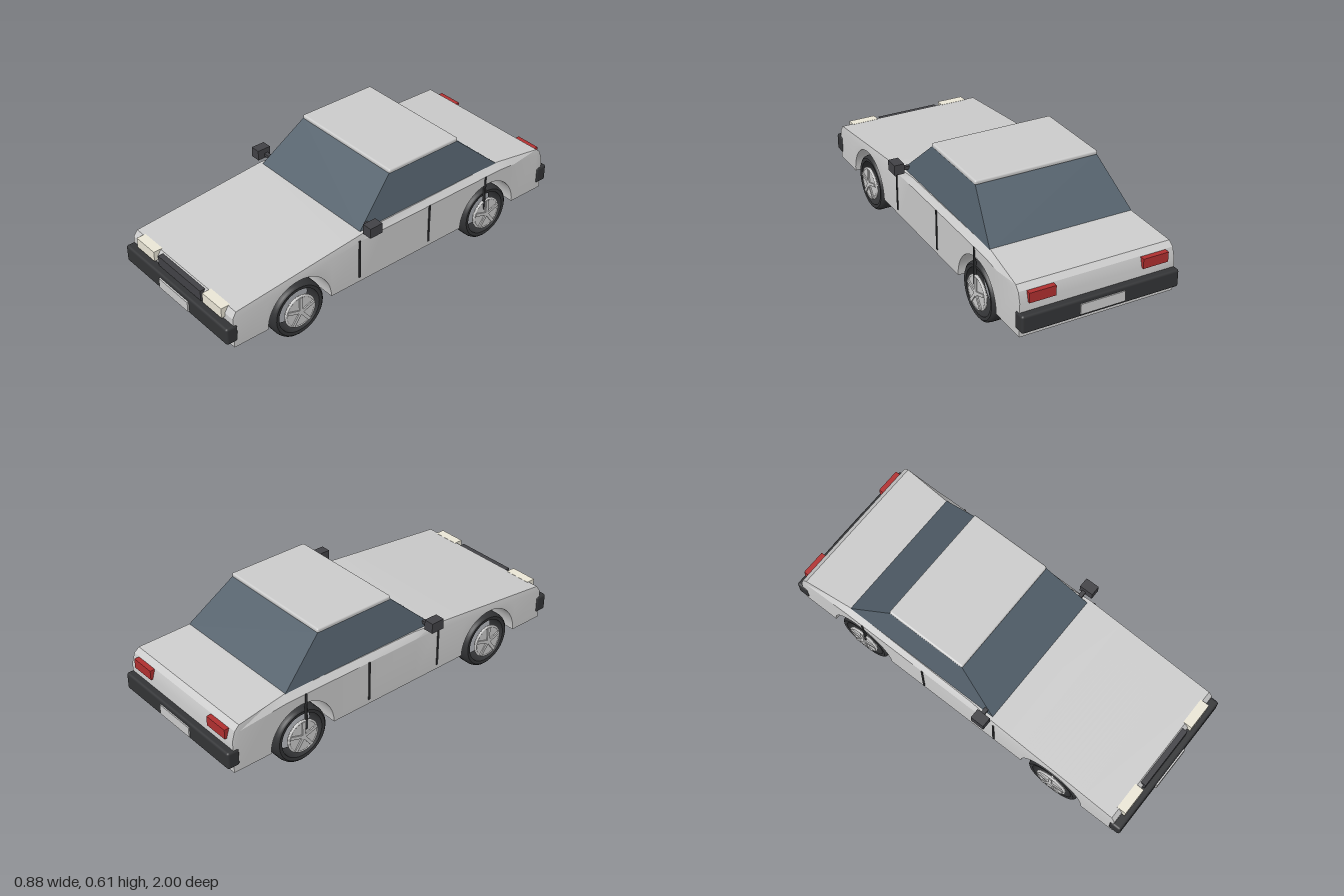
import * as THREE from 'three';
import { toCreasedNormals } from 'three/addons/utils/BufferGeometryUtils.js';
import { RoundedBoxGeometry } from 'three/addons/geometries/RoundedBoxGeometry.js';

const paint = (color) => new THREE.MeshStandardMaterial({ color });
const grey = paint(0xcccccc), dark = paint(0x424246), black = paint(0x333436);
const glass = paint(0x53606b), cream = paint(0xeae6d6), red = paint(0xb03030);

function mesh(name, geometry, material, x = 0, y = 0, z = 0) {
  const m = new THREE.Mesh(geometry, material);
  m.name = name;
  m.position.set(x, y, z);
  return m;
}

// Box given by its minimum and maximum along each axis
function box(name, material, [x0, x1], [y0, y1], [z0, z1], radius = 0) {
  const s = [x1 - x0, y1 - y0, z1 - z0];
  const g = radius ? new RoundedBoxGeometry(...s, 3, radius) : new THREE.BoxGeometry(...s);
  return mesh(name, g, material, (x0 + x1) / 2, (y0 + y1) / 2, (z0 + z1) / 2);
}

// Skin over equal-length rings, ordered front to back, counter-clockwise from the front
function loft(rings) {
  const n = rings[0].length, index = [];
  for (let i = 0; i < rings.length - 1; i++) {
    for (let j = 0; j < n; j++) {
      const a = i * n + j, b = i * n + (j + 1) % n, c = b + n, d = a + n;
      index.push(a, d, c, a, c, b);
    }
  }
  const last = (rings.length - 1) * n;
  for (let j = 1; j < n - 1; j++) {
    index.push(0, j, j + 1, last, last + j + 1, last + j);
  }
  const g = new THREE.BufferGeometry();
  g.setAttribute('position', new THREE.Float32BufferAttribute(rings.flat(2), 3));
  g.setIndex(index);
  return toCreasedNormals(g, 0.4);
}

const WHEEL_Z = [0.587, -0.58], ARCH_R = 0.18, SILL = 0.135;

// Upper edge of the body: z, height, half width
const shoulder = [
  [0.95, 0.29, 0.388], [0.93, 0.32, 0.385], [0.22, 0.393, 0.382], [0.1, 0.395, 0.37],
  [-0.66, 0.395, 0.362], [-0.92, 0.372, 0.385], [-0.945, 0.35, 0.387], [-0.96, 0.3, 0.388],
];

function shoulderAt(z) {
  const i = Math.max(1, shoulder.findIndex((p) => p[0] <= z + 1e-6));
  const [a, b] = [shoulder[i - 1], shoulder[i]];
  const t = (a[0] - z) / (a[0] - b[0]);
  return [THREE.MathUtils.lerp(a[1], b[1], t), THREE.MathUtils.lerp(a[2], b[2], t)];
}

// Lower edge rises over the wheels
function undersideAt(z) {
  for (const c of WHEEL_Z) {
    const t = Math.abs(z - c) / ARCH_R;
    if (t < 1) return SILL + 0.184 * Math.sqrt(1 - t * t);
  }
  return SILL;
}

function createBody() {
  const stations = shoulder.map((p) => p[0]);
  for (const c of WHEEL_Z) {
    for (let i = 0; i <= 24; i++) stations.push(c + ARCH_R * Math.cos((i / 24) * Math.PI));
  }
  stations.sort((a, b) => b - a);
  const rings = stations.map((z) => {
    const [top, w] = shoulderAt(z), low = undersideAt(z), crease = top - 0.03;
    return [
      [0.39, low, z], [0.39, crease, z], [w, top, z],
      [-w, top, z], [-0.39, crease, z], [-0.39, low, z],
    ];
  });
  return mesh('body', loft(rings), grey);
}

// Tapered glasshouse
function createCabin() {
  const ring = (y0, z0, y1, z1) => [
    [0.365, y0, z0], [0.313, y1, z1], [-0.313, y1, z1], [-0.365, y0, z0],
  ];
  return mesh('windows', loft([ring(0.388, 0.222, 0.592, 0), ring(0.388, -0.66, 0.592, -0.425)]), glass);
}

// Wheel with its axle along x and its outer face towards +x
function createWheel() {
  const wheel = new THREE.Group();
  wheel.name = 'wheel';
  const profile = [
    [0.114, -0.045], [0.13, -0.047], [0.139, -0.04], [0.143, -0.025], [0.143, 0.025],
    [0.139, 0.04], [0.13, 0.047], [0.114, 0.045], [0.114, -0.045],
  ].map((p) => new THREE.Vector2(...p));
  const tyre = toCreasedNormals(new THREE.LatheGeometry(profile, 40), 0.7);
  wheel.add(mesh('tyre', tyre.rotateZ(-Math.PI / 2), black));
  const disc = new THREE.CylinderGeometry(0.084, 0.084, 0.012, 32).rotateZ(-Math.PI / 2);
  wheel.add(mesh('hubDisc', disc, grey, 0.048));
  const rim = new THREE.TorusGeometry(0.08, 0.006, 8, 40).rotateY(Math.PI / 2);
  wheel.add(mesh('rim', rim, grey, 0.05));
  for (let i = 0; i < 5; i++) {
    const spoke = new THREE.BoxGeometry(0.022, 0.08, 0.016).translate(0, 0.04, 0);
    const m = mesh('spoke', spoke, grey, 0.049);
    m.rotation.x = (i / 5) * Math.PI * 2;
    wheel.add(m);
  }
  return wheel;
}

export function createModel() {
  const car = new THREE.Group();
  car.name = 'car';
  car.add(createBody(), createCabin());
  car.add(box('roof', grey, [-0.316, 0.316], [0.587, 0.61], [-0.43, 0.002], 0.009));

  // Bumpers and plates
  car.add(box('frontBumper', black, [-0.396, 0.396], [0.168, 0.256], [0.93, 0.992], 0.012));
  car.add(box('rearBumper', black, [-0.396, 0.396], [0.168, 0.256], [-0.994, -0.93], 0.012));
  car.add(box('frontPlate', grey, [-0.112, 0.112], [0.184, 0.235], [0.98, 1]));
  car.add(box('rearPlate', grey, [-0.112, 0.112], [0.184, 0.235], [-1, -0.98]));
  car.add(box('grille', dark, [-0.165, 0.165], [0.26, 0.313], [0.93, 0.962]));

  // Parts that repeat on both sides
  for (const side of [1, -1]) {
    const span = (a, b) => (side > 0 ? [a, b] : [-b, -a]);
    car.add(box('headlight', cream, span(0.189, 0.33), [0.27, 0.322], [0.92, 0.968]));
    car.add(box('tailLight', red, span(0.218, 0.348), [0.298, 0.347], [-0.971, -0.93]));
    car.add(box('mirror', dark, span(0.39, 0.441), [0.4, 0.452], [0.15, 0.222]));
    car.add(box('mirrorStalk', dark, span(0.355, 0.392), [0.409, 0.425], [0.165, 0.185]));
    for (const [z, low] of [[0.241, 0.16], [-0.19, 0.16], [-0.56, 0.175]]) {
      car.add(box('doorSeam', black, span(0.383, 0.394), [low, 0.366], [z - 0.005, z + 0.005]));
    }
    for (const z of WHEEL_Z) {
      const wheel = createWheel();
      wheel.position.set(side * 0.338, 0.143, z);
      wheel.rotation.y = side > 0 ? 0 : Math.PI;
      car.add(wheel);
    }
  }
  return car;
}
